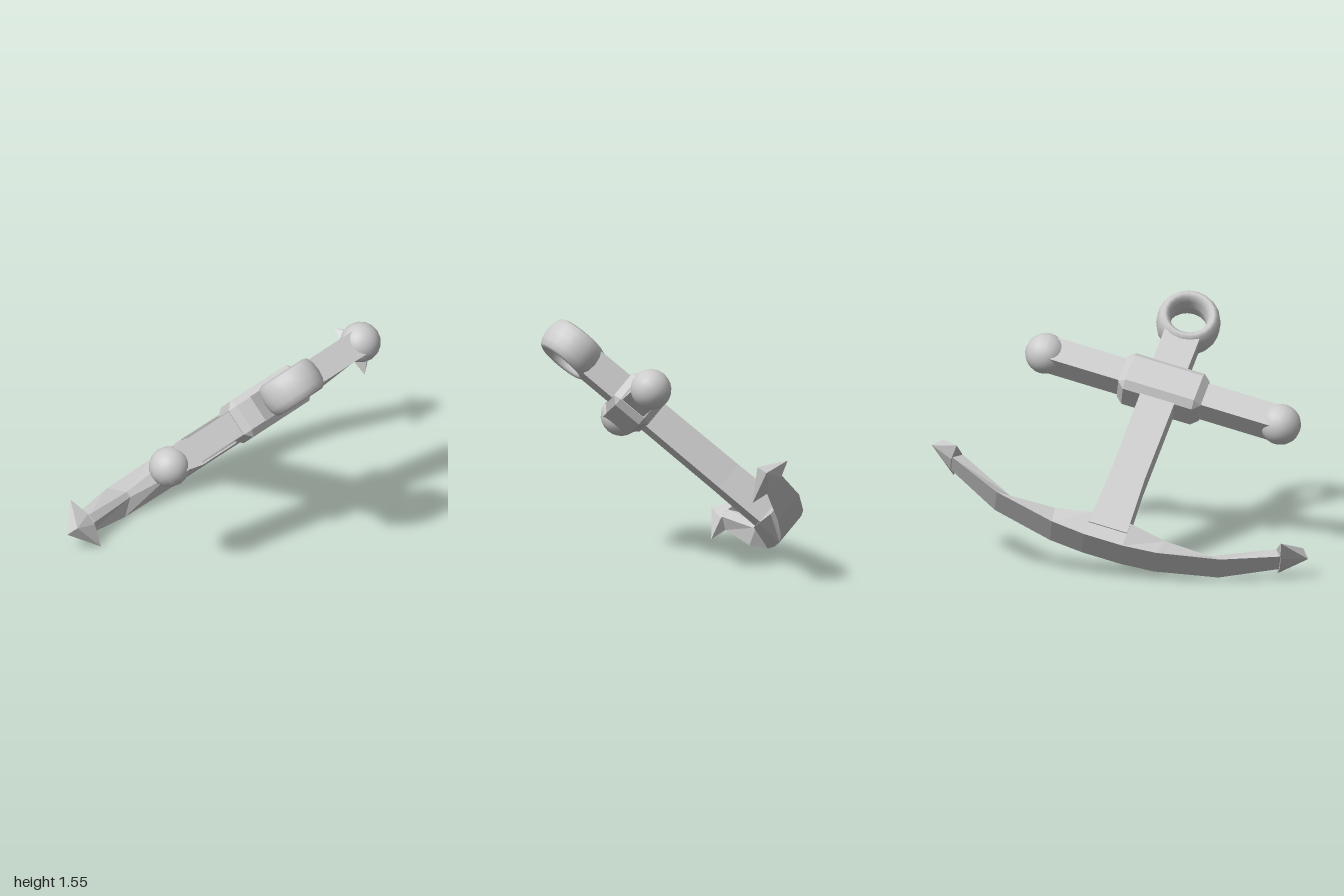
import * as THREE from 'three';
import { ConvexGeometry } from 'three/addons/geometries/ConvexGeometry.js';

const flat = new THREE.MeshStandardMaterial({ color: 0xcccccc, flatShading: true });
const smooth = new THREE.MeshStandardMaterial({ color: 0xcccccc });
const V = (x, y, z) => new THREE.Vector3(x, y, z);

// Skin a row of four-cornered cross-sections, with closed ends
function loft(sections) {
  const pos = sections.flat(2), index = [], last = (sections.length - 1) * 4;
  for (let i = 0; i < sections.length - 1; i++) {
    for (let j = 0; j < 4; j++) {
      const a = i * 4 + j, b = i * 4 + (j + 1) % 4;
      index.push(a, b, a + 4, b, b + 4, a + 4);
    }
  }
  index.push(0, 2, 1, 0, 3, 2, last, last + 1, last + 2, last, last + 2, last + 3);
  const geo = new THREE.BufferGeometry();
  geo.setAttribute('position', new THREE.Float32BufferAttribute(pos, 3));
  geo.setIndex(index);
  geo.computeVertexNormals();
  return geo;
}

// Box with every edge and corner cut off
function chamferBox(x, y, z, c) {
  const pts = [];
  for (const i of [-1, 1]) for (const j of [-1, 1]) for (const k of [-1, 1]) {
    pts.push(V(i * x, j * (y - c), k * (z - c)));
    pts.push(V(i * (x - c), j * y, k * (z - c)));
    pts.push(V(i * (x - c), j * (y - c), k * z));
  }
  return new ConvexGeometry(pts);
}

export function createModel() {
  // The anchor is built upright (stock along x, shank along y) around the collar
  const anchor = new THREE.Group();
  anchor.name = 'anchor';
  const add = (name, geo, mat = flat) => {
    const mesh = new THREE.Mesh(geo, mat);
    mesh.name = name;
    anchor.add(mesh);
    return mesh;
  };

  // Shank, widening towards the crown
  const ring4 = (y, a, w) => [[-a, y, w], [a, y, w], [a, y, -w], [-a, y, -w]];
  add('shank', loft([
    ring4(-1.17, 0.13, 0.1), ring4(-1.08, 0.125, 0.1),
    ring4(-0.75, 0.112, 0.097), ring4(0.38, 0.117, 0.092),
  ]));

  // Curved arms, broad outside and narrowing to a ridge inside:
  // outer x, y, half width, then inner x, y, half width
  const half = [
    [0.13, -1.27, 0.11, 0.13, -1.09, 0.1],
    [0.35, -1.25, 0.112, 0.37, -1.105, 0.045],
    [0.75, -1.157, 0.108, 0.67, -1.1, 0.02],
    [1.1, -0.985, 0.075, 1.05, -0.915, 0.03],
  ];
  const stations = [
    ...half.map(([a, b, v, c, d, w]) => [-a, b, v, -c, d, w]).reverse(),
    ...half,
  ];
  add('arms', loft(stations.map(([a, b, v, c, d, w]) =>
    [[a, b, v], [a, b, -v], [c, d, -w], [c, d, w]]))).position.z = 0.012;

  // Stock and collar
  add('stock', new THREE.BoxGeometry(1.5, 0.172, 0.172));
  add('collar', chamferBox(0.275, 0.142, 0.135, 0.045));

  for (const side of [-1, 1]) {
    // Ball at each end of the stock
    add('stockBall', new THREE.SphereGeometry(0.131, 16, 12), smooth)
      .position.x = side * 0.788;

    // Arrow-shaped fluke with a chisel tip
    const pts = [V(1.262, -0.895, 0), V(1.207, -0.828, 0)];
    for (const k of [-1, 1]) {
      pts.push(V(1.087, -0.953, k * 0.178));
      pts.push(V(1.055, -0.915, k * 0.04), V(1.105, -0.99, k * 0.06));
    }
    pts.forEach((p) => { p.x *= side; });
    add('fluke', new ConvexGeometry(pts)).position.z = 0.014;
  }

  // Broad rounded ring at the head of the shank
  const profile = [
    [0.115, 0], [0.12, -0.06], [0.134, -0.098], [0.157, -0.112], [0.181, -0.1],
    [0.199, -0.06], [0.206, 0],
  ];
  const back = profile.slice(1, -1).reverse().map(([r, h]) => [r, -h]);
  const loop = [...profile, ...back, profile[0]].map(([r, h]) => new THREE.Vector2(r, h));
  const ring = add('ring', new THREE.LatheGeometry(loop, 20), smooth);
  ring.rotation.x = Math.PI / 2;
  ring.position.y = 0.527;

  // Lean the whole anchor into its resting pose
  const s = V(0.769, 0.247, -0.59).normalize();
  const n = s.clone().cross(V(0.329, 0.636, 0.697)).normalize();
  const u = n.clone().cross(s);
  anchor.quaternion.setFromRotationMatrix(new THREE.Matrix4().makeBasis(s, u, n));
  anchor.position.set(0.262, 1.025, 0.39);

  const model = new THREE.Group();
  model.name = 'leaningAnchor';
  model.add(anchor);
  return model;
}
